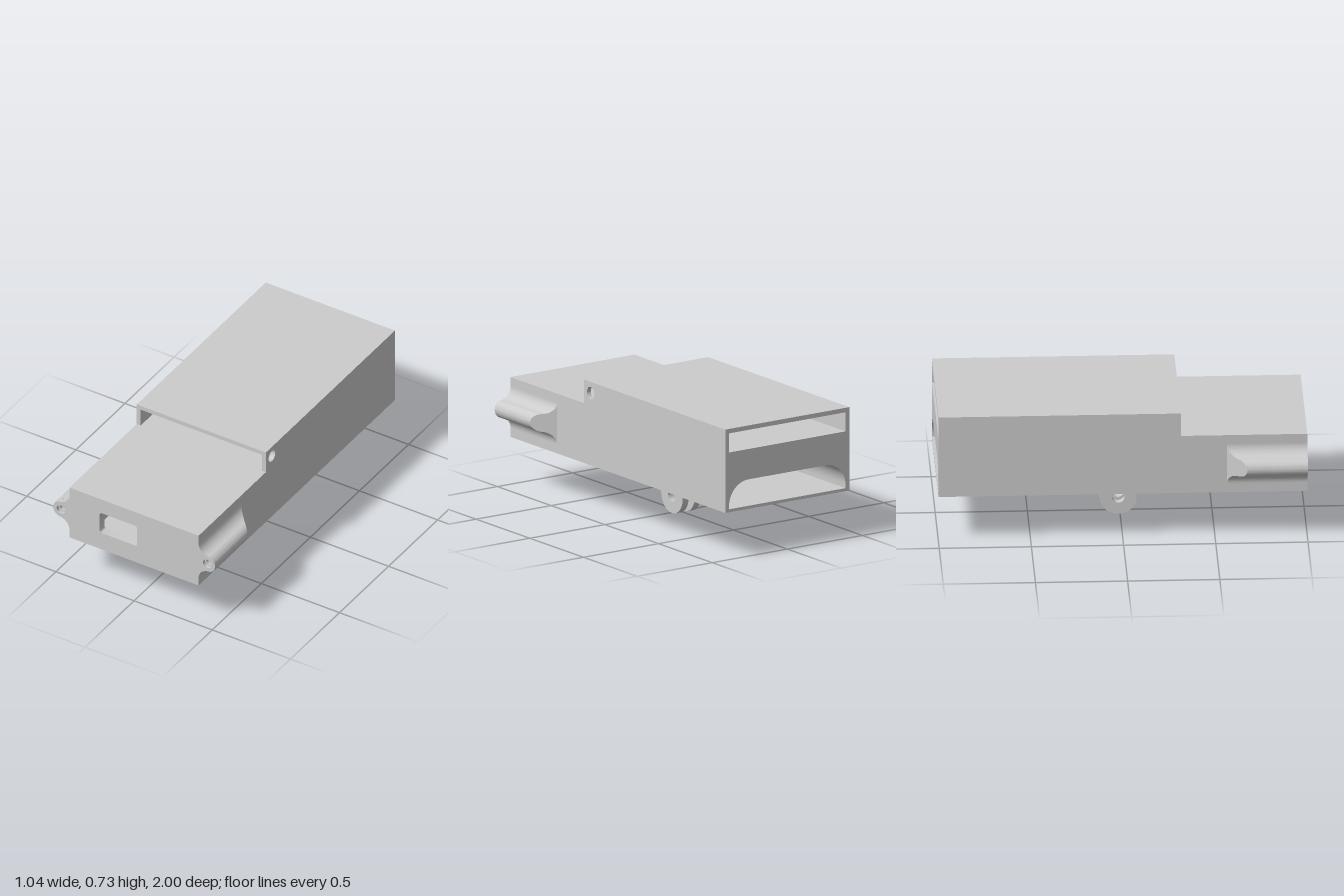
import * as THREE from 'three';
import { toCreasedNormals } from 'three/addons/utils/BufferGeometryUtils.js';

const material = new THREE.MeshStandardMaterial({ color: 0xcccccc });

const HALF = 0.413;    // half width of the case
const INNER = 0.388;   // half width of the cavities
const BASE = 0.265;    // underside of the case
const DECK = 0.6;      // top of the lower case
const TOP = 0.732;     // top of the raised sleeve

function addMesh(parent, name, geometry) {
  const mesh = new THREE.Mesh(geometry, material);
  mesh.name = name;
  parent.add(mesh);
  return mesh;
}

function extrude(shape, depth) {
  return new THREE.ExtrudeGeometry(shape, { depth, bevelEnabled: false, curveSegments: 16 });
}

// Shape in (x, y), extruded from z0 to z1
function alongZ(shape, z0, z1) {
  return toCreasedNormals(extrude(shape, z1 - z0).translate(0, 0, z0), 0.6);
}

// Shape in (z, y), extruded from x0 to x1
function alongX(shape, x0, x1) {
  return toCreasedNormals(extrude(shape, x1 - x0).rotateY(-Math.PI / 2).translate(x1, 0, 0), 0.6);
}

function rect(x0, x1, y0, y1) {
  return new THREE.Shape([[x0, y0], [x1, y0], [x1, y1], [x0, y1]].map(p => new THREE.Vector2(...p)));
}

function roundRect(x0, x1, y0, y1, r) {
  const p = new THREE.Path();
  p.absarc(x1 - r, y0 + r, r, -Math.PI / 2, 0);
  p.absarc(x1 - r, y1 - r, r, 0, Math.PI / 2);
  p.absarc(x0 + r, y1 - r, r, Math.PI / 2, Math.PI);
  p.absarc(x0 + r, y0 + r, r, Math.PI, Math.PI * 1.5);
  p.closePath();
  return p;
}

function circle(x, y, r) {
  return new THREE.Path().absarc(x, y, r, 0, Math.PI * 2);
}

// Flat-floored cavity with rounded upper corners; optionally joined with the window above it
function cavity(withWindow) {
  const r = 0.13, y0 = 0.282, y1 = 0.43;
  const p = new THREE.Path();
  p.moveTo(-INNER, y0);
  p.lineTo(INNER, y0);
  p.absarc(INNER - r, y1 - r, r, 0, Math.PI / 2);
  if (withWindow) {
    p.lineTo(0.02, y1);
    p.absarc(0.005, 0.493, 0.015, 0, Math.PI / 2);
    p.absarc(-0.205, 0.493, 0.015, Math.PI / 2, Math.PI);
    p.lineTo(-0.22, y1);
  }
  p.absarc(-INNER + r, y1 - r, r, Math.PI / 2, Math.PI);
  p.closePath();
  return p;
}

function caseSection(hole) {
  const s = rect(-HALF, HALF, BASE, DECK);
  s.holes.push(hole);
  return s;
}

// Screw ear outline: round boss blended into the case side
function earShape(side, holeRadius) {
  const a = Math.acos(0.012 / 0.117);
  const p = new THREE.Path();
  p.absarc(0.48, 0.548, 0.067, Math.PI, Math.PI + a, false);
  p.absarc(0.468, 0.432, 0.05, a, -a, true);
  p.absarc(0.48, 0.316, 0.067, Math.PI - a, Math.PI, false);
  const s = new THREE.Shape(p.getPoints(16).map(v => new THREE.Vector2(v.x * side, v.y)));
  if (holeRadius) s.holes.push(circle(0.468 * side, 0.432, holeRadius));
  return s;
}

function createEar(side) {
  const ear = new THREE.Group();
  ear.name = side > 0 ? 'leftScrewEar' : 'rightScrewEar';
  addMesh(ear, 'counterbore', alongZ(earShape(side, 0.027), 0.98, 1));
  addMesh(ear, 'screwHole', alongZ(earShape(side, 0.019), 0.8, 0.98));
  // Rear end is cut back at 45 degrees
  const geo = extrude(earShape(side, 0), 0.235).translate(0, 0, 0.565);
  const pos = geo.attributes.position;
  for (let i = 0; i < pos.count; i++) {
    if (pos.getZ(i) < 0.6) pos.setZ(i, 0.565 + Math.abs(pos.getX(i)) - HALF);
  }
  geo.computeVertexNormals();
  addMesh(ear, 'earTail', toCreasedNormals(geo, 0.6));
  return ear;
}

// Hinge lug profile in (z, y): round eye with a curved rear brace
function lugShape() {
  const s = new THREE.Shape();
  s.moveTo(0.09, BASE);
  s.lineTo(-0.28, BASE);
  s.bezierCurveTo(-0.18, 0.245, -0.125, 0.19, -0.108, 0.1);
  s.absarc(-0.01, 0.1, 0.1, Math.PI, Math.PI * 2, false);
  s.closePath();
  s.holes.push(circle(-0.01, 0.1, 0.035));
  return s;
}

// Concave fillet between a lug face at x and the underside, spreading toward dir
function filletShape(x, dir) {
  const r = 0.021;
  const s = new THREE.Shape();
  s.moveTo(x, BASE);
  s.lineTo(x, BASE - r);
  s.quadraticCurveTo(x + dir * r * 0.15, BASE - r * 0.15, x + dir * r, BASE);
  s.closePath();
  return s;
}

export function createModel() {
  const model = new THREE.Group();
  model.name = 'deviceCase';

  // Lower case: long cavity open at the back, window in the front wall
  const lower = new THREE.Group();
  lower.name = 'lowerCase';
  addMesh(lower, 'caseBody', alongZ(caseSection(cavity(false)), -1, 0.9));
  addMesh(lower, 'windowPocket', alongZ(caseSection(cavity(true)), 0.9, 0.95));
  addMesh(lower, 'frontWall', alongZ(caseSection(roundRect(-0.22, 0.02, 0.375, 0.508, 0.015)), 0.95, 1));
  model.add(lower);

  // Raised sleeve: open at both ends, one side wall pierced
  const sleeve = new THREE.Group();
  sleeve.name = 'upperSleeve';
  addMesh(sleeve, 'sleeveRoof', alongZ(rect(-HALF, HALF, 0.707, TOP), -1, 0.315));
  const plainWall = rect(-1, 0.315, DECK, 0.707);
  addMesh(sleeve, 'rightWall', alongX(plainWall, -HALF, -INNER));
  const piercedWall = plainWall.clone();
  piercedWall.holes.push(circle(0.253, 0.67, 0.034));
  addMesh(sleeve, 'leftWall', alongX(piercedWall, INNER, HALF));
  model.add(sleeve);

  for (const side of [1, -1]) model.add(createEar(side));

  // Pair of hinge lugs under the case, filleted on both faces
  const hinge = new THREE.Group();
  hinge.name = 'hingeMount';
  for (const [x0, x1] of [[-0.06, -0.021], [0.021, 0.06]]) {
    addMesh(hinge, 'hingeLug', alongX(lugShape(), x0, x1));
    addMesh(hinge, 'lugFillet', alongZ(filletShape(x0, -1), -0.22, 0.09));
    addMesh(hinge, 'lugFillet', alongZ(filletShape(x1, 1), -0.22, 0.09));
  }
  model.add(hinge);

  // Headed peg beside the hinge
  const peg = new THREE.Group();
  peg.name = 'headedPeg';
  addMesh(peg, 'pegStem', new THREE.CylinderGeometry(0.032, 0.032, 0.016, 32)).position.y = 0.258;
  addMesh(peg, 'pegHead', new THREE.CylinderGeometry(0.046, 0.046, 0.011, 32)).position.y = 0.2455;
  peg.position.set(-0.126, 0, -0.215);
  model.add(peg);

  return model;
}
